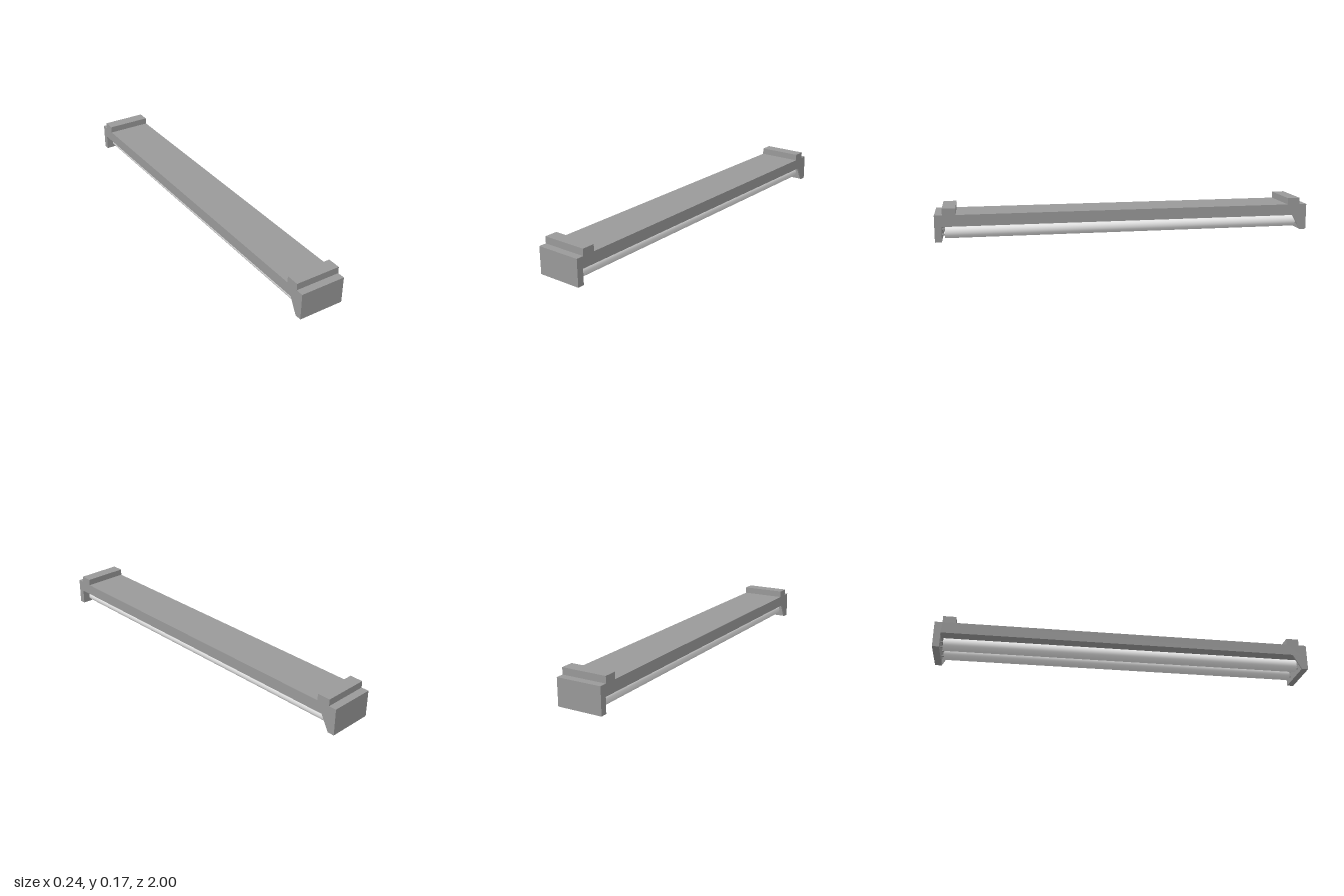
import * as THREE from 'three';

const W = 0.24; // housing width

// Extrudes a (z, y) outline along x, centred on the given x
function extrudeAcross(points, width, x, material, name) {
  const shape = new THREE.Shape(points.map(([z, y]) => new THREE.Vector2(-z, y)));
  const geo = new THREE.ExtrudeGeometry(shape, { depth: width, bevelEnabled: false });
  geo.translate(0, 0, -width / 2);
  geo.rotateY(Math.PI / 2);
  const mesh = new THREE.Mesh(geo, material);
  mesh.position.x = x;
  mesh.name = name;
  return mesh;
}

function rod(radius, length, sides, material, name) {
  const geo = new THREE.CylinderGeometry(radius, radius, length, sides);
  geo.rotateX(Math.PI / 2);
  const mesh = new THREE.Mesh(geo, material);
  mesh.name = name;
  return mesh;
}

export function createModel() {
  const grey = new THREE.MeshStandardMaterial({ color: 0x999999 });
  grey.name = 'housing grey';
  const white = new THREE.MeshStandardMaterial({ color: 0xf2f2f2 });
  white.name = 'tube white';

  const model = new THREE.Group();
  model.name = 'twinTubeLight';

  // Housing: top slab, end plates and mounting ridges in one outline
  const half = [
    [0.965, 0.08], [0.965, 0], [1, 0], [1, 0.14],
    [0.96, 0.14], [0.96, 0.175], [0.892, 0.175], [0.892, 0.14],
  ];
  const outline = [...half, ...half.map(([z, y]) => [-z, y]).reverse()];
  model.add(extrudeAcross(outline, W, 0, grey, 'housing'));

  // One thin sloped gusset per end, on opposite sides
  for (const s of [-1, 1]) {
    const gusset = [[s * 0.965, 0], [s * 0.965, 0.08], [s * 0.922, 0.08]];
    model.add(extrudeAcross(gusset, 0.008, -s * (W / 2 - 0.004), grey, 'endGusset'));
  }

  // Two tubes with a pair of contact pins at each end
  for (const side of [-1, 1]) {
    const lamp = new THREE.Group();
    lamp.name = side > 0 ? 'leftLamp' : 'rightLamp';
    lamp.position.set(side * 0.057, 0.042, 0);
    lamp.add(rod(0.033, 1.9, 32, white, 'tube'));
    for (const end of [-1, 1]) {
      for (const v of [-1, 1]) {
        const pin = rod(0.005, 0.024, 10, grey, 'contactPin');
        pin.position.set(0, v * 0.014, end * 0.957);
        lamp.add(pin);
      }
    }
    model.add(lamp);
  }
  return model;
}
